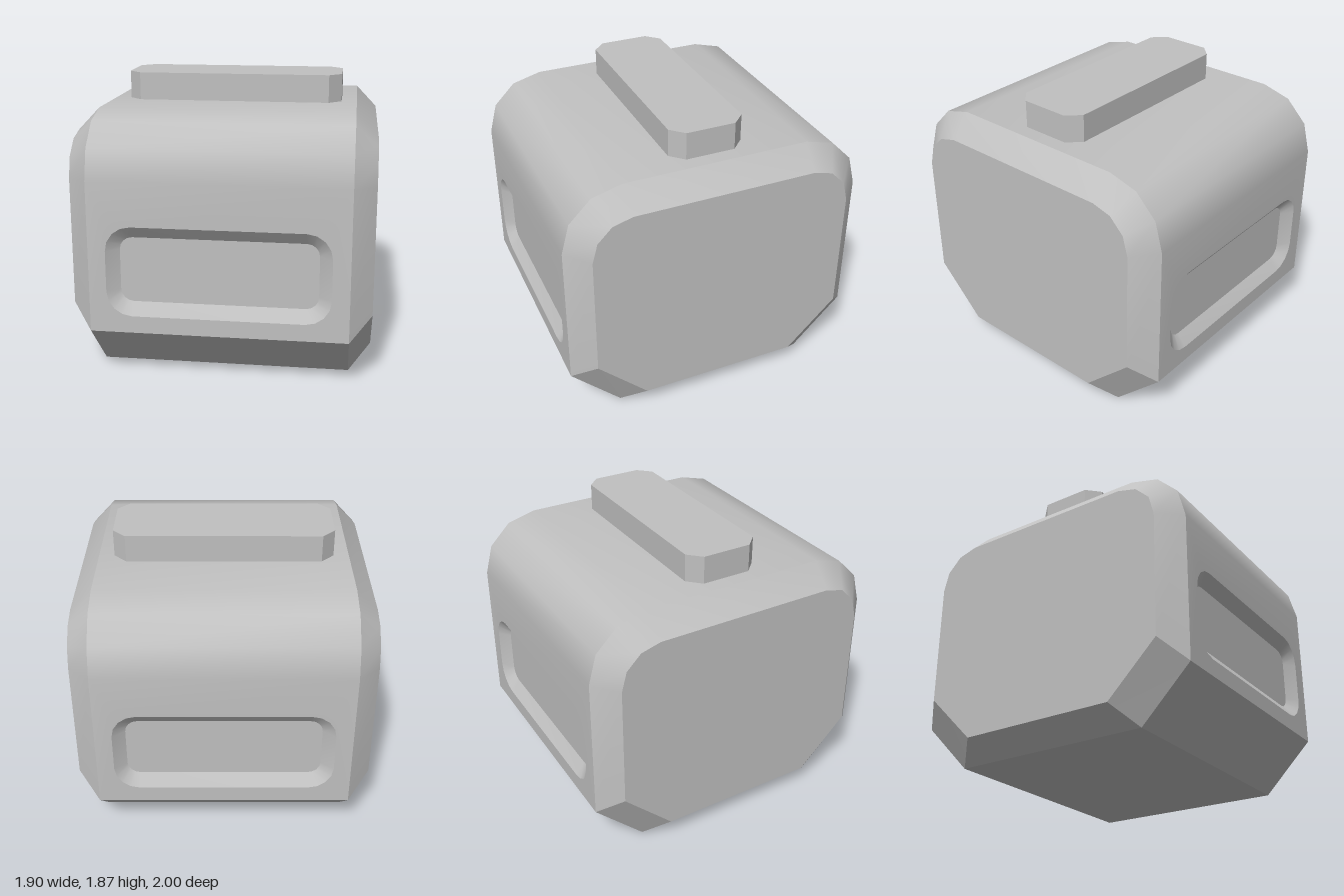
import * as THREE from 'three';
import { mergeGeometries, toCreasedNormals } from 'three/addons/utils/BufferGeometryUtils.js';

const grey = new THREE.MeshStandardMaterial({ color: 0xc0c0c0 });
grey.name = 'plain grey';

// Geometry from a list of triangle corners
function fromPoints(points) {
  const g = new THREE.BufferGeometry();
  g.setAttribute('position', new THREE.Float32BufferAttribute(points.flat(), 3));
  return g;
}

// Quads between two matching closed loops, leaving out the listed segments
function loft(a, b, skip = []) {
  const tris = [];
  a.forEach((p, i) => {
    if (skip.includes(i)) return;
    const j = (i + 1) % a.length;
    tris.push(p, b[i], b[j], p, b[j], a[j]);
  });
  return fromPoints(tris);
}

// Convex cap across a loop
function cap(loop, flip) {
  const tris = [];
  for (let i = 1; i < loop.length - 1; i++) {
    tris.push(loop[0], flip ? loop[i + 1] : loop[i], flip ? loop[i] : loop[i + 1]);
  }
  return fromPoints(tris);
}

// Body cross-section at x: chamfered below, rounded in three steps above
function section(x, floorZ, floorY, sideZ, sideY, centreY, r) {
  const half = [[x, floorY, floorZ], [x, sideY, sideZ]];
  for (let i = 0; i <= 3; i++) {
    const t = (i * Math.PI) / 6;
    half.push([x, centreY + r * Math.sin(t), sideZ - r + r * Math.cos(t)]);
  }
  return [...half, ...half.map(([px, y, z]) => [px, y, -z]).reverse()];
}
const outer = (x) => section(x, 0.67, 0, 1, 0.33, 1.3, 0.39);
const inner = (x) => section(x, 0.53, 0.14, 0.86, 0.465, 1.285, 0.26);

// Rounded rectangle, counter-clockwise
function roundedRect(halfW, y0, y1, r, steps = 4) {
  const pts = [];
  const corners = [[halfW - r, y1 - r], [r - halfW, y1 - r], [r - halfW, y0 + r], [halfW - r, y0 + r]];
  corners.forEach(([cx, cy], c) => {
    for (let i = 0; i <= steps; i++) {
      const t = ((c + i / steps) * Math.PI) / 2;
      pts.push(new THREE.Vector2(cx + r * Math.cos(t), cy + r * Math.sin(t)));
    }
  });
  return pts;
}

// Flat plate facing +z, position only
function plate(shape, z) {
  const g = new THREE.ShapeGeometry(shape).toNonIndexed().translate(0, 0, z);
  g.deleteAttribute('uv');
  g.deleteAttribute('normal');
  return g;
}

export function createModel() {
  const model = new THREE.Group();
  model.name = 'chamferedCase';
  const add = (name, geometry) => {
    const mesh = new THREE.Mesh(geometry, grey);
    mesh.name = name;
    model.add(mesh);
    return mesh;
  };

  // Main shell, with a panel opening at the front and back
  const rim = roundedRect(0.7, 0.44, 1.02, 0.16);
  const well = roundedRect(0.62, 0.52, 0.94, 0.08);
  const panel = new THREE.Shape([[-0.81, 0.33], [0.81, 0.33], [0.81, 1.3], [-0.81, 1.3]]
    .map(([x, y]) => new THREE.Vector2(x, y)));
  panel.holes.push(new THREE.Path(rim));
  const front = plate(panel, 1);
  const back = front.clone().rotateY(Math.PI);
  const wrap = loft(outer(-0.81), outer(0.81), [1, 9]);
  add('shell', toCreasedNormals(mergeGeometries([wrap, front, back]), 0.6));

  // Sloped recess walls and floors
  const at = (pts, z) => pts.map((p) => [p.x, p.y, z]);
  const walls = toCreasedNormals(loft(at(well, 0.94), at(rim, 1)), 0.6);
  const floor = toCreasedNormals(plate(new THREE.Shape(well), 0.94), 0.6);
  for (const [side, turn] of [['front', 0], ['back', Math.PI]]) {
    add(side + 'RecessWalls', walls).rotation.y = turn;
    add(side + 'RecessFloor', floor).rotation.y = turn;
  }

  // Bevelled edges and flat ends
  add('leftBevel', toCreasedNormals(loft(outer(0.81), inner(0.95)), 0.5));
  add('rightBevel', toCreasedNormals(loft(inner(-0.95), outer(-0.81)), 0.5));
  add('leftEnd', toCreasedNormals(cap(inner(0.95), true), 0.5));
  add('rightEnd', toCreasedNormals(cap(inner(-0.95), false), 0.5));

  // Top block with clipped corners
  const w = 0.71, d = 0.245, c = 0.083;
  const outline = new THREE.Shape([
    [w - c, -d], [w, c - d], [w, d - c], [w - c, d],
    [c - w, d], [-w, d - c], [-w, c - d], [c - w, -d],
  ].map(([x, y]) => new THREE.Vector2(x, y)));
  const block = new THREE.ExtrudeGeometry(outline, { depth: 0.18, bevelEnabled: false });
  add('topBlock', block.rotateX(-Math.PI / 2).translate(0, 1.69, 0));

  return model;
}
